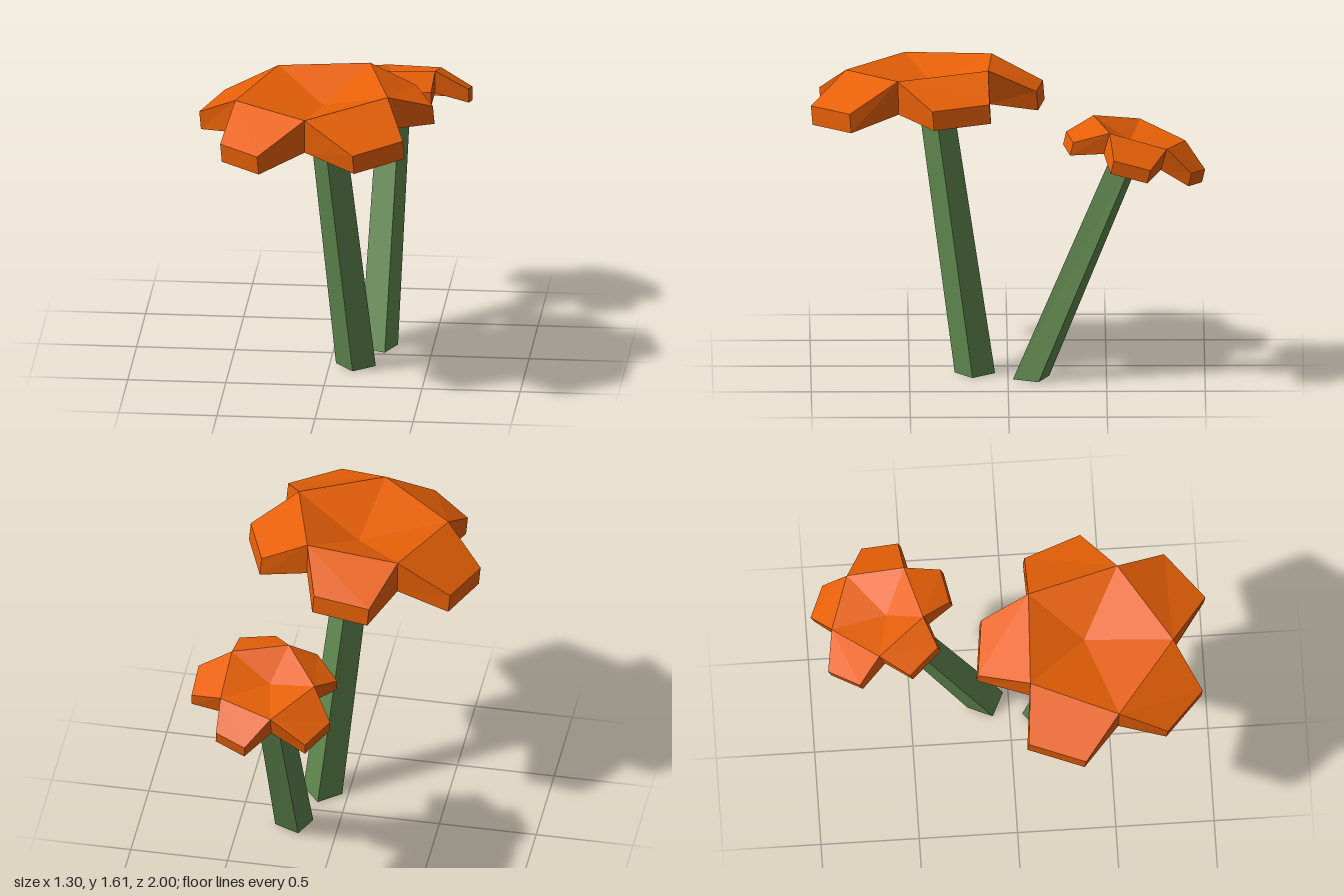
import * as THREE from 'three';

// Open shells, so both sides show
const orange = new THREE.MeshStandardMaterial({ color: 0xec6207, side: THREE.DoubleSide });
orange.name = 'petal orange';
const green = new THREE.MeshStandardMaterial({ color: 0x60884f, side: THREE.DoubleSide });
green.name = 'stem green';

// Unshared corners, so every facet keeps a flat normal
function facetMesh(name, material, polygons) {
  const pos = [];
  for (const p of polygons)
    for (let i = 1; i < p.length - 1; i++) pos.push(...p[0], ...p[i], ...p[i + 1]);
  const geo = new THREE.BufferGeometry();
  geo.setAttribute('position', new THREE.Float32BufferAttribute(pos, 3));
  geo.computeVertexNormals();
  const mesh = new THREE.Mesh(geo, material);
  mesh.name = name;
  return mesh;
}

const add = (a, b) => a.map((v, i) => v + b[i]);

// Five-sided dished heart with a drooping, skirted petal on each side, hollow below
function flowerHead(name, { center, rim, tips, rimDrop, tipDrop }) {
  const group = new THREE.Group();
  group.name = name;
  const heart = [];
  for (let i = 0; i < 5; i++) {
    const a = rim[i], b = rim[(i + 1) % 5];
    const [s, t] = [tips[2 * i], tips[2 * i + 1]];
    const top = [a, s, t, b];
    const low = [add(a, rimDrop), add(s, tipDrop), add(t, tipDrop), add(b, rimDrop)];
    heart.push([center, b, a]);
    const faces = [[b, t, s, a]];
    for (let k = 0; k < 3; k++) faces.push([top[k], top[k + 1], low[k + 1], low[k]]);
    group.add(facetMesh('petal', orange, faces));
  }
  group.add(facetMesh('flowerHeart', orange, heart));
  return group;
}

// Leaning four-sided tube between two rings of corners
function stem(name, base, top) {
  const faces = base.map((p, i) => {
    const j = (i + 1) % 4;
    return [p, base[j], top[j], top[i]];
  });
  return facetMesh(name, green, faces);
}

export function createModel() {
  const model = new THREE.Group();
  model.name = 'flowers';

  // Tall front flower
  model.add(flowerHead('largeFlowerHead', {
    center: [-0.015, 1.465, 0.37],
    rim: [[-0.27, 1.57, 0.08], [0.2, 1.605, 0.1], [0.33, 1.585, 0.56], [-0.07, 1.54, 0.82], [-0.45, 1.53, 0.52]],
    tips: [
      [-0.17, 1.455, -0.18], [0.12, 1.475, -0.145],
      [0.435, 1.49, 0.095], [0.545, 1.483, 0.385],
      [0.43, 1.44, 0.805], [0.19, 1.42, 1.0],
      [-0.3, 1.385, 0.955], [-0.505, 1.38, 0.765],
      [-0.65, 1.4, 0.34], [-0.545, 1.42, 0.055],
    ],
    rimDrop: [0, -0.174, -0.005],
    tipDrop: [0.008, -0.097, -0.008],
  }));
  model.add(stem('largeStem',
    [[0.125, 0, 0.27], [0.235, 0, 0.18], [0.14, 0, 0.065], [0.03, 0, 0.155]],
    [[-0.015, 1.44, 0.461], [0.083, 1.44, 0.376], [0, 1.44, 0.286], [-0.093, 1.44, 0.366]]));

  // Smaller flower leaning to the back
  model.add(flowerHead('smallFlowerHead', {
    center: [0.26, 1.25, -0.62],
    rim: [[0.205, 1.24, -0.9], [0.48, 1.267, -0.805], [0.475, 1.35, -0.515], [0.195, 1.37, -0.435], [0.02, 1.305, -0.67]],
    tips: [
      [0.32, 1.118, -1.0], [0.48, 1.14, -0.93],
      [0.645, 1.2, -0.72], [0.643, 1.25, -0.535],
      [0.47, 1.3, -0.33], [0.29, 1.31, -0.295],
      [0.06, 1.28, -0.37], [-0.07, 1.24, -0.52],
      [-0.08, 1.17, -0.775], [0.02, 1.125, -0.93],
    ],
    rimDrop: [0, -0.108, 0.03],
    tipDrop: [0.004, -0.066, 0.016],
  }));
  model.add(stem('smallStem',
    [[0.262, 0, -0.025], [0.318, 0, -0.155], [0.19, 0, -0.21], [0.135, 0, -0.085]],
    [[0.296, 1.24, -0.549], [0.34, 1.21, -0.65], [0.23, 1.21, -0.695], [0.182, 1.24, -0.602]]));

  return model;
}
